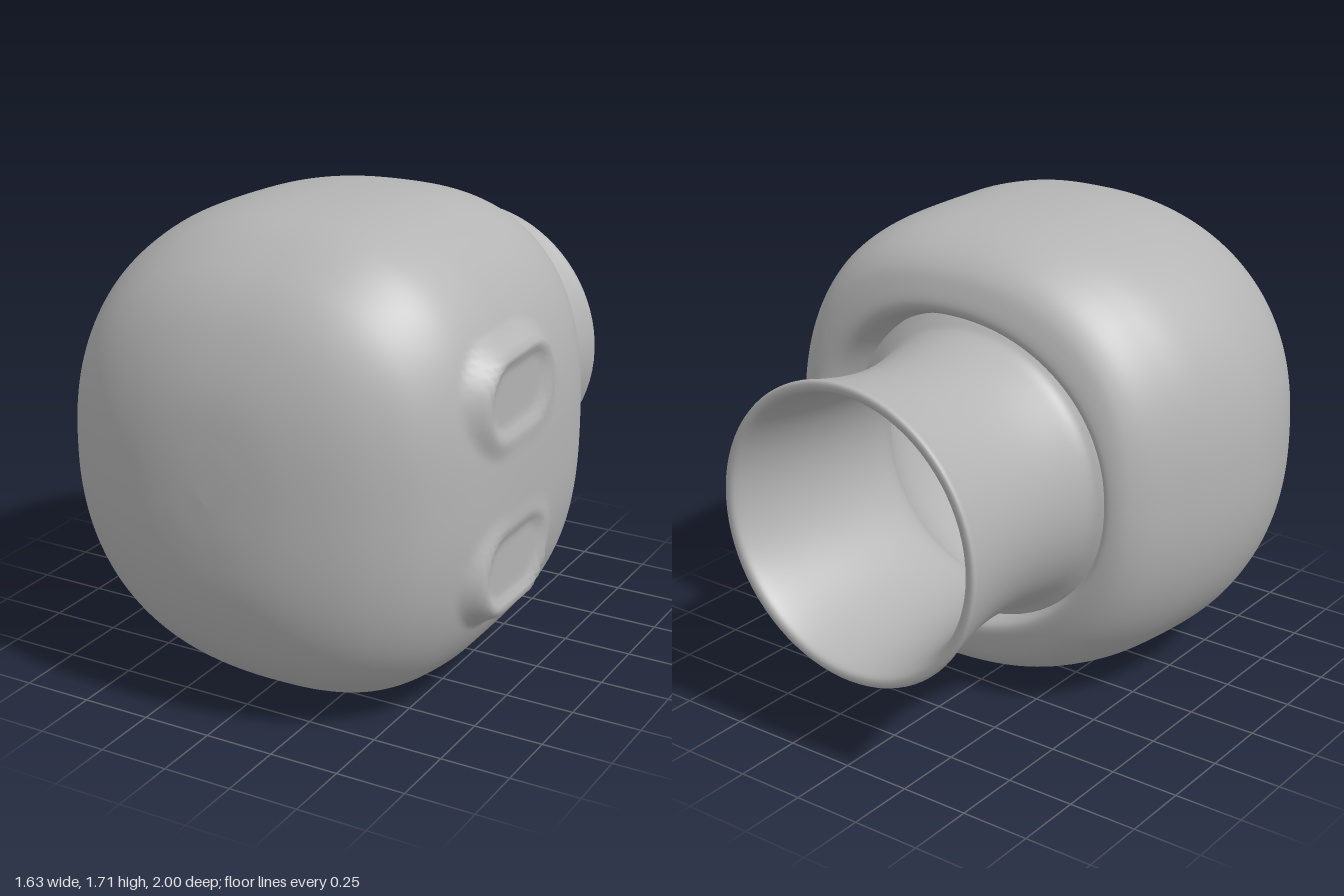
import * as THREE from 'three';

const CY = 0.855; // height of the long axis
const PAD_HEIGHTS = [1.155, 0.555];

// Cross-sections from the opening to the front: z, left x, right x, half height
const SECTIONS = [
  [-0.15, -0.52, 0.55, 0.52], [-0.28, -0.55, 0.58, 0.55], [-0.335, -0.56, 0.6, 0.57],
  [-0.352, -0.58, 0.635, 0.6], [-0.34, -0.62, 0.68, 0.655], [-0.31, -0.655, 0.715, 0.72],
  [-0.25, -0.695, 0.75, 0.775], [-0.15, -0.735, 0.785, 0.82], [0, -0.78, 0.803, 0.847],
  [0.25, -0.813, 0.81, 0.853], [0.42, -0.803, 0.805, 0.847], [0.6, -0.755, 0.77, 0.812],
  [0.75, -0.675, 0.69, 0.725], [0.85, -0.57, 0.585, 0.625], [0.92, -0.44, 0.46, 0.5],
  [0.97, -0.28, 0.3, 0.35], [0.992, -0.14, 0.15, 0.18], [1, 0, 0, 0],
];

// Shallow dish with a raised rim on the +x side; returns the new x
function pressDishes(x, y, z) {
  let out = x;
  for (const height of PAD_HEIGHTS) {
    const d = Math.hypot(Math.max(0, Math.abs(z - 0.32) - 0.09), y - height) - 0.14;
    const raise = 1 - THREE.MathUtils.smoothstep(d, 0, 0.07);
    const dish = 1 - THREE.MathUtils.smoothstep(d, -0.045, 0);
    out = THREE.MathUtils.lerp(out, 0.812, raise) - 0.02 * dish;
  }
  return out;
}

function bodyGeometry() {
  const around = 256, along = 136;
  const sides = new THREE.CatmullRomCurve3(
    SECTIONS.map(([z, l, r]) => new THREE.Vector3(l, r, z)), false, 'catmullrom', 0.5);
  const heights = new THREE.CatmullRomCurve3(
    SECTIONS.map(([z, , , h]) => new THREE.Vector3(h, 0, z)), false, 'catmullrom', 0.5);
  const positions = [], index = [];
  for (let i = 0; i <= along; i++) {
    const s = sides.getPoint(i / along);
    const h = Math.max(0, heights.getPoint(i / along).x);
    const centre = (s.x + s.y) / 2 + 0.08 * (s.y - s.x) / 1.6;
    // the back opening leans, the front does not
    const tilt = 0.072 * (1 - THREE.MathUtils.smoothstep(s.z, -0.3, 0.4));
    const square = Math.max(THREE.MathUtils.smoothstep(h, 0.55, 0.8),
      THREE.MathUtils.smoothstep(s.z, 0, 0.4));
    for (let j = 0; j < around; j++) {
      const a = (j / around) * Math.PI * 2;
      const c = Math.cos(a), n = Math.sin(a);
      const power = 2.1 + (c > 0 ? 0.5 : 0.2) * square;
      const k = Math.pow(Math.pow(Math.abs(c), power) + Math.pow(Math.abs(n), power), -1 / power);
      const x = centre + c * k * (c > 0 ? s.y - centre : centre - s.x);
      const y = CY + n * k * h, z = s.z - tilt * x;
      positions.push(x > 0.6 ? pressDishes(x, y, z) : x, y, z);
    }
  }
  for (let i = 0; i < along; i++) {
    for (let j = 0; j < around; j++) {
      const a = i * around + j, b = i * around + (j + 1) % around;
      index.push(a, b, b + around, a, b + around, a + around);
    }
  }
  const geometry = new THREE.BufferGeometry();
  geometry.setAttribute('position', new THREE.Float32BufferAttribute(positions, 3));
  geometry.setIndex(index);
  geometry.computeVertexNormals();
  return geometry;
}

// Flared sleeve, its rolled lip, and the hollow behind it: radius, z
function sleeveGeometry() {
  const profile = [
    [0.58, -0.26], [0.54, -0.295], [0.508, -0.33], [0.49, -0.4], [0.473, -0.52], [0.471, -0.65],
    [0.488, -0.8], [0.518, -0.94], [0.53, -0.99], [0.51, -1], [0.488, -0.985], [0.47, -0.92],
    [0.452, -0.8], [0.432, -0.6], [0.425, -0.36], [0.45, -0.22], [0.57, -0.1], [0.68, 0.1],
    [0.69, 0.4], [0.55, 0.68], [0.3, 0.84], [0, 0.89],
  ].map(([r, z]) => new THREE.Vector2(r, -z));
  const points = new THREE.SplineCurve(profile).getPoints(105);
  points.forEach((p) => { p.x = Math.max(0, p.x); p.y = Math.min(1, p.y); });
  const geometry = new THREE.LatheGeometry(points, 80);
  geometry.rotateX(-Math.PI / 2);
  return geometry;
}

export function createModel() {
  const grey = new THREE.MeshStandardMaterial({ color: 0xb4b4b4, side: THREE.DoubleSide });
  grey.name = 'grey';
  const model = new THREE.Group();
  model.name = 'model';

  const body = new THREE.Mesh(bodyGeometry(), grey);
  body.name = 'body';

  const sleeve = new THREE.Mesh(sleeveGeometry(), grey);
  sleeve.name = 'sleeve';
  sleeve.position.set(-0.02, CY + 0.005, 0);

  model.add(body, sleeve);
  return model;
}
